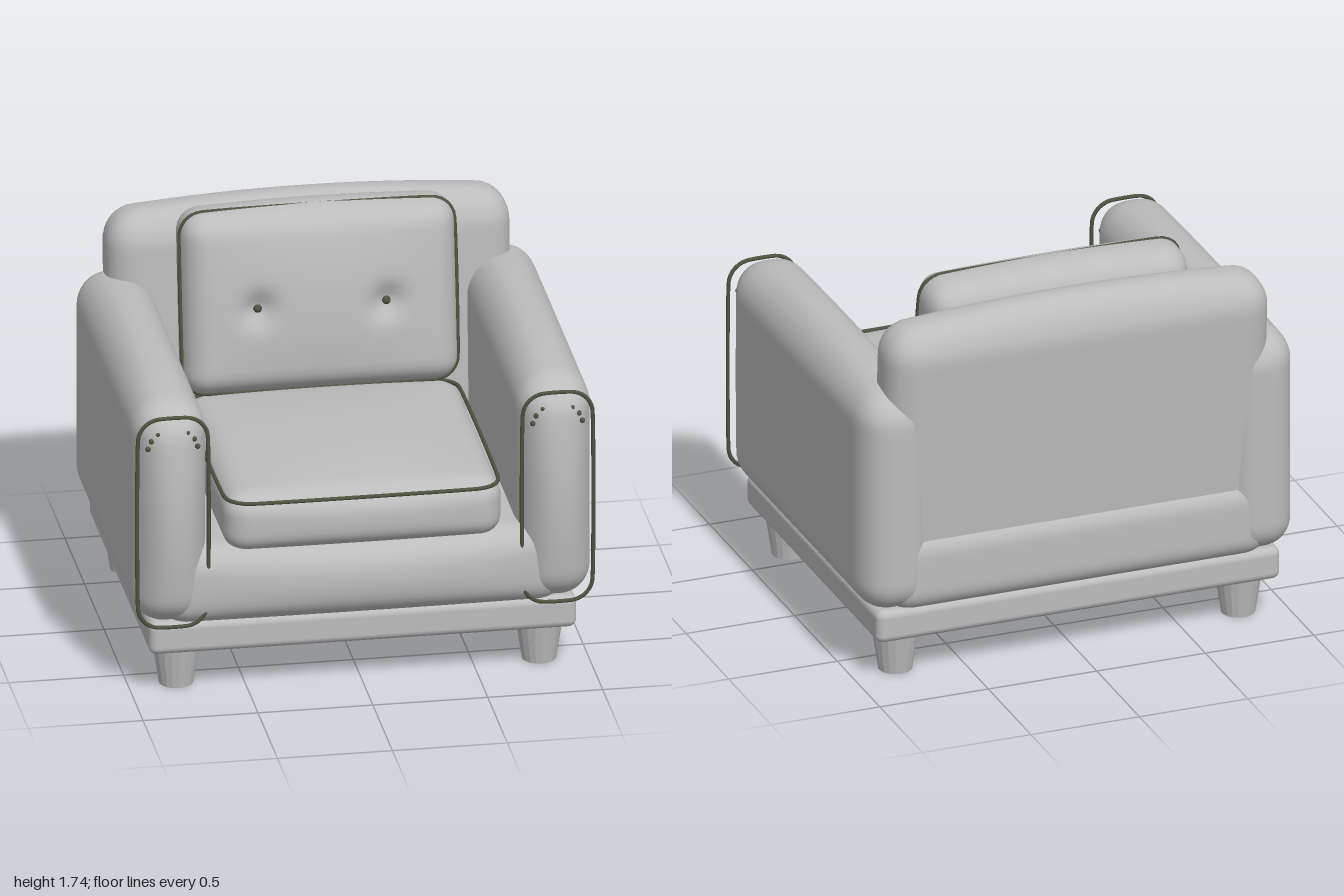
import * as THREE from 'three';
import { mergeVertices } from 'three/addons/utils/BufferGeometryUtils.js';
import { RoundedBoxGeometry } from 'three/addons/geometries/RoundedBoxGeometry.js';

const fabric = new THREE.MeshStandardMaterial({ color: 0xbcbcbc });
fabric.name = 'greyFabric';
const trim = new THREE.MeshStandardMaterial({ color: 0x4c5440 });
trim.name = 'darkGreenTrim';

// Stuffed block: elliptically rounded box whose +x, +y, +z faces swell by the bulge amounts.
function pillow(half, radius, bulge, adjust) {
  const axes = ['x', 'y', 'z'];
  const segments = half.map(h => Math.min(48, Math.max(14, Math.round(h * 2 / 0.03))));
  const box = new THREE.BoxGeometry(...half.map(h => h * 2), ...segments);
  box.deleteAttribute('uv');
  box.deleteAttribute('normal');
  const geometry = mergeVertices(box);
  const position = geometry.attributes.position;
  const p = new THREE.Vector3(), inner = new THREE.Vector3(), dir = new THREE.Vector3();
  for (let i = 0; i < position.count; i++) {
    p.fromBufferAttribute(position, i);
    axes.forEach((a, k) => {
      const limit = half[k] - radius[k];
      inner[a] = THREE.MathUtils.clamp(p[a], -limit, limit);
      dir[a] = (p[a] - inner[a]) / radius[k];
    });
    dir.normalize();
    axes.forEach((a, k) => { p[a] = inner[a] + dir[a] * radius[k]; });
    const u = axes.map((a, k) => p[a] / half[k]);
    axes.forEach((a, k) => {
      const v = u[(k + 1) % 3], w = u[(k + 2) % 3];
      p[a] += bulge[k] * Math.max(0, u[k]) * (1 - v * v) * (1 - w * w);
    });
    if (adjust) adjust(p);
    position.setXYZ(i, p.x, p.y, p.z);
  }
  geometry.computeVertexNormals();
  return geometry;
}

// Closed rounded-rectangle cord in the XY plane.
function pipingLoop(halfW, halfH, r) {
  const points = [];
  const corners = [[1, 1], [-1, 1], [-1, -1], [1, -1]];
  corners.forEach(([sx, sy], c) => {
    for (let i = 0; i <= 6; i++) {
      const a = (c + i / 6) * Math.PI / 2;
      points.push(new THREE.Vector3(
        sx * (halfW - r) + Math.cos(a) * r, sy * (halfH - r) + Math.sin(a) * r, 0));
    }
  });
  const curve = new THREE.CatmullRomCurve3(points, true);
  return new THREE.TubeGeometry(curve, 140, 0.009, 8, true);
}

function part(parent, name, geometry, material, x = 0, y = 0, z = 0) {
  const mesh = new THREE.Mesh(geometry, material);
  mesh.name = name;
  mesh.position.set(x, y, z);
  parent.add(mesh);
  return mesh;
}

export function createModel() {
  const chair = new THREE.Group();
  chair.name = 'armchair';

  // Tapered faceted legs
  const legGeometry = new THREE.CylinderGeometry(0.105, 0.074, 0.2, 18).toNonIndexed();
  legGeometry.computeVertexNormals();
  for (const x of [-0.79, 0.79]) {
    for (const z of [-0.645, 0.605]) part(chair, 'leg', legGeometry, fabric, x, 0.1, z);
  }

  // Plinth and upholstered seat deck
  part(chair, 'base', new RoundedBoxGeometry(1.86, 0.15, 1.56, 4, 0.035), fabric, 0, 0.265, -0.02);
  part(chair, 'seatDeck', pillow([0.88, 0.18, 0.82], [0.12, 0.1, 0.1], [0, 0.02, 0.06]),
    fabric, 0, 0.505, -0.02);

  // Backrest, leaning slightly backwards
  const back = part(chair, 'backrest',
    pillow([0.88, 0.62, 0.15], [0.13, 0.14, 0.13], [0, 0.05, 0]), fabric, 0, 1.02, -0.685);
  back.rotation.x = -0.06;

  // Seat cushion with piping near its top edge
  part(chair, 'seatCushion', pillow([0.605, 0.135, 0.6], [0.1, 0.09, 0.1], [0, 0.05, 0.03]),
    fabric, 0, 0.78, 0.2);
  const seatPiping = part(chair, 'seatPiping', pipingLoop(0.597, 0.6, 0.11), trim, 0, 0.89, 0.2);
  seatPiping.rotation.x = Math.PI / 2;

  // Tufted back cushion with piping and two buttons
  const backCushion = new THREE.Group();
  backCushion.name = 'backCushion';
  backCushion.position.set(0, 1.315, -0.44);
  backCushion.rotation.x = -0.14;
  chair.add(backCushion);
  const tuft = p => {
    if (p.z < 0) return;
    const dx = Math.abs(p.x) - 0.28, dy = p.y + 0.015;
    p.z -= 0.055 * Math.exp(-(dx * dx + dy * dy) / 0.0045);
  };
  part(backCushion, 'backCushionBody',
    pillow([0.6, 0.405, 0.145], [0.1, 0.1, 0.13], [0, 0.02, 0.05], tuft), fabric);
  part(backCushion, 'backPiping', pipingLoop(0.598, 0.405, 0.1), trim, 0, 0, 0.05);
  const buttonGeometry = new THREE.SphereGeometry(0.019, 16, 12);
  for (const x of [-0.28, 0.28]) part(backCushion, 'button', buttonGeometry, trim, x, -0.015, 0.135);

  // Arms with front piping and an arc of studs
  const armGeometry = pillow([0.163, 0.51, 0.83], [0.14, 0.14, 0.16], [0, 0.04, 0.055]);
  const armPiping = pipingLoop(0.152, 0.487, 0.1);
  const studGeometry = new THREE.SphereGeometry(0.012, 12, 8);
  const studs = [[0.108, 1.18], [0.093, 1.215], [0.063, 1.245]];
  for (const side of [-1, 1]) {
    const arm = new THREE.Group();
    arm.name = side > 0 ? 'leftArm' : 'rightArm';
    arm.position.x = side * 0.837;
    chair.add(arm);
    part(arm, 'armBody', armGeometry, fabric, 0, 0.84, -0.02);
    part(arm, 'armPiping', armPiping, trim, 0, 0.83, 0.805);
    for (const [x, y] of studs) {
      for (const s of [-1, 1]) part(arm, 'stud', studGeometry, trim, s * x, y, 0.805);
    }
  }
  return chair;
}
